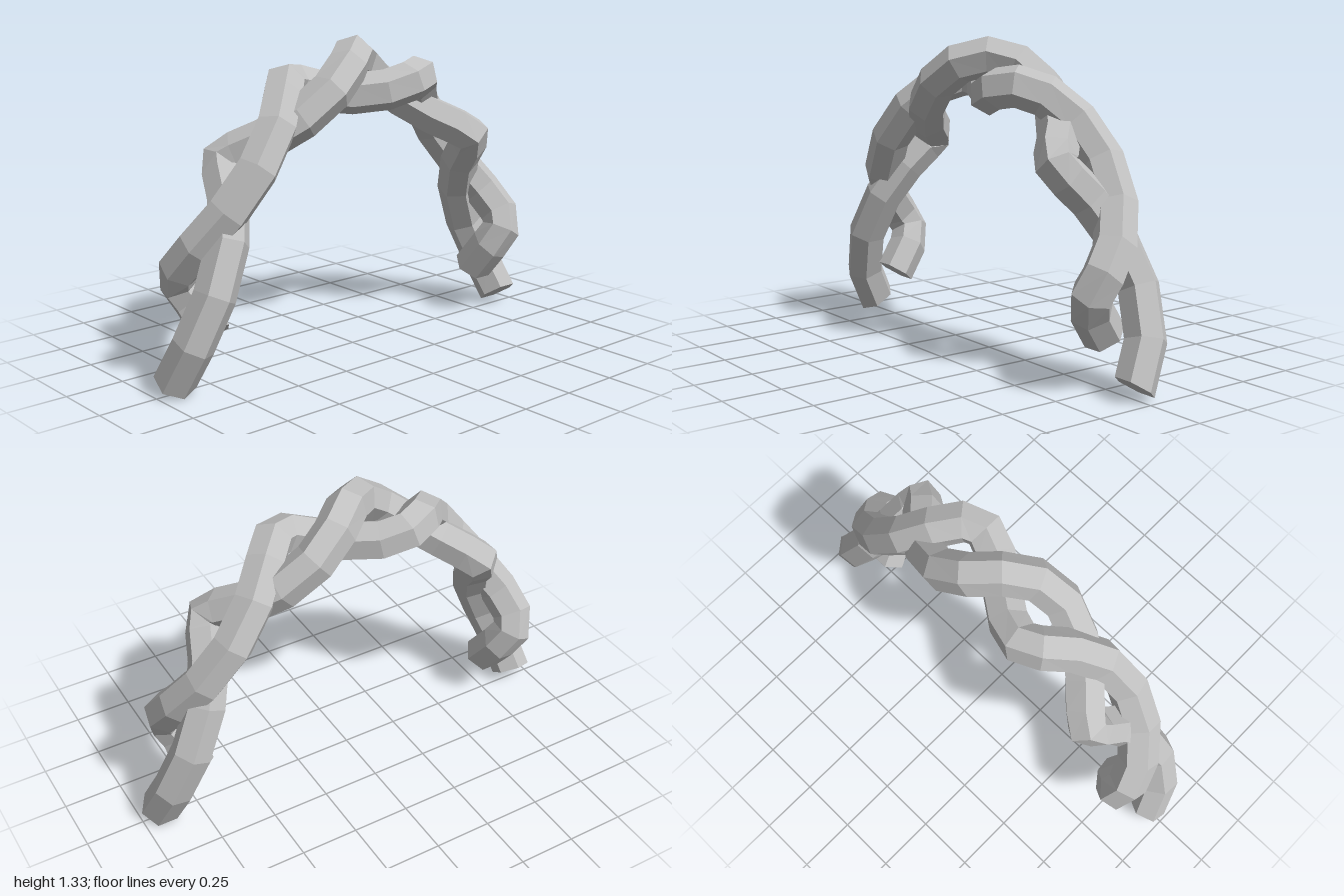
import * as THREE from 'three';

const SEGMENTS = 24, SIDES = 6, TUBE_RADIUS = 0.087;

// One strand: half an ellipse, weaving around the arch line. side is 1 or -1.
class StrandCurve extends THREE.Curve {
  constructor(side) {
    super();
    this.side = side;
  }
  getPoint(t, target = new THREE.Vector3()) {
    const angle = Math.PI * t;
    const phase = 6 * (Math.PI / 2 - angle);
    const swing = this.side * Math.cos(phase);
    return target.set(
      (0.827 + 0.086 * swing) * Math.cos(angle),
      0.124 + 1.04 * Math.sin(angle) - 0.08 * swing,
      this.side * 0.118 * Math.sin(phase)
    );
  }
  // Rings sit at even angles along the arch
  getUtoTmapping(u) {
    return u;
  }
}

// Six-sided tube with both ends closed
function strandGeometry(side) {
  const geometry = new THREE.TubeGeometry(new StrandCurve(side), SEGMENTS, TUBE_RADIUS, SIDES, false);
  const index = Array.from(geometry.index.array);
  const last = SEGMENTS * (SIDES + 1);
  for (let j = 1; j < SIDES - 1; j++) {
    index.push(0, j, j + 1);
    index.push(last, last + j + 1, last + j);
  }
  geometry.setIndex(index);
  const flat = geometry.toNonIndexed();
  flat.computeVertexNormals();
  return flat;
}

export function createModel() {
  const group = new THREE.Group();
  group.name = 'twistedArch';
  const grey = new THREE.MeshStandardMaterial({ color: 0xc0c0c0, flatShading: true });
  grey.name = 'lightGrey';

  // Two strands woven around each other
  for (const [name, side] of [['firstStrand', 1], ['secondStrand', -1]]) {
    const strand = new THREE.Mesh(strandGeometry(side), grey);
    strand.name = name;
    group.add(strand);
  }
  return group;
}
